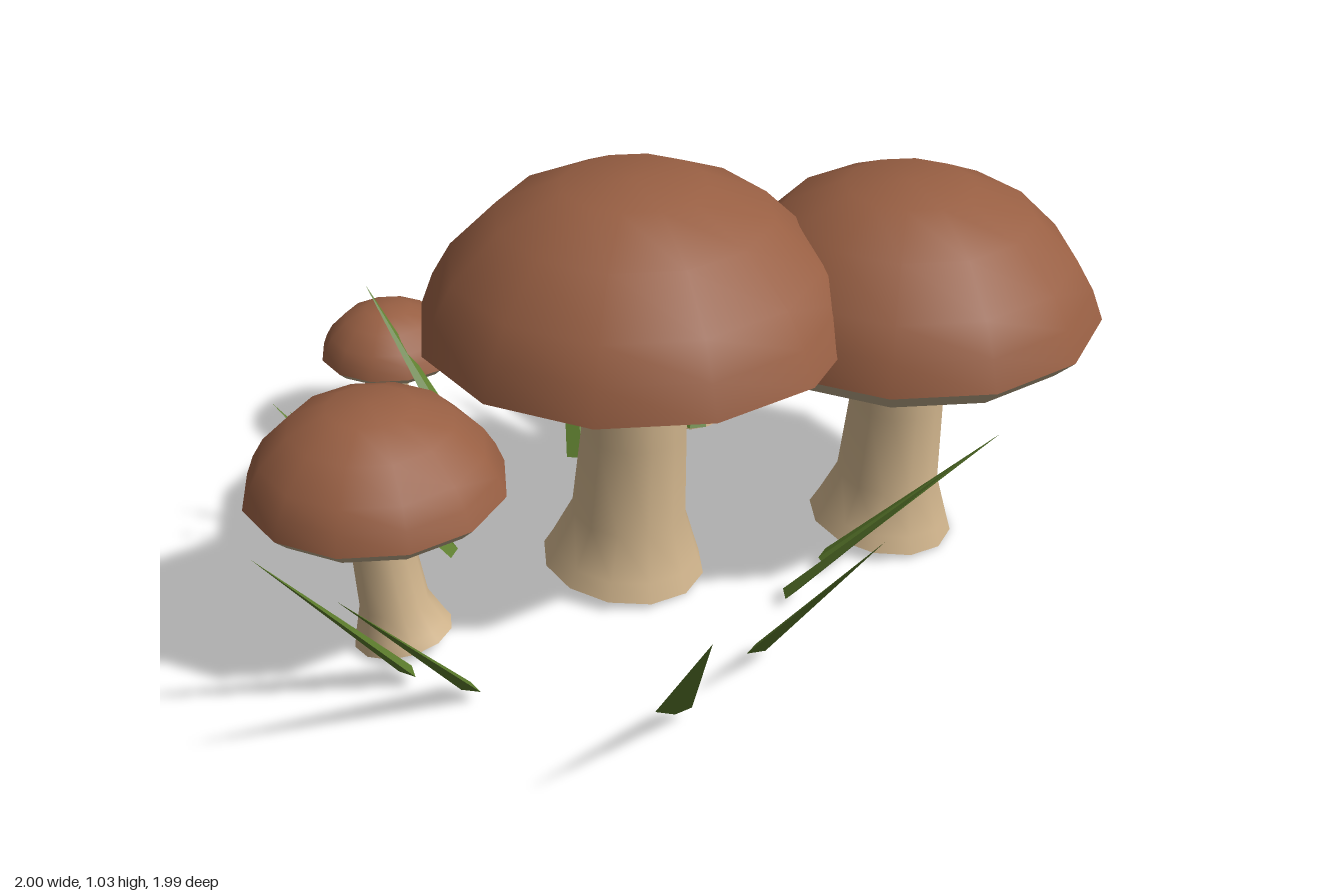
import * as THREE from 'three';
import { mergeVertices } from 'three/addons/utils/BufferGeometryUtils.js';

const mat = (name, color, flatShading = false) => {
  const m = new THREE.MeshStandardMaterial({ color, flatShading, side: THREE.DoubleSide });
  m.name = name;
  return m;
};

const V2 = (a) => a.map(([x, y]) => new THREE.Vector2(x, y));

// Profiles, bottom to top, for a cap of radius 1 and a stem of radius and height 1
const CAP = [[1, 0], [0.94, 0.16], [0.85, 0.315], [0.63, 0.535], [0.33, 0.675], [0, 0.7]];
const STEM = [[1.6, 0], [1.45, 0.07], [1.12, 0.24], [1.02, 0.6], [1, 1]];
const GILLS = [[0.28, -0.105], [0.89, -0.105], [1, 0]];

// cx, cz: cap centre; R: cap radius; rim: rim height; r, top: stem radius and top height;
// lean: sideways shift of the foot; slope: tilt of the foot's cut
const MUSHROOMS = [
  { name: 'largeMushroom', cx: -0.063, cz: 0.048, R: 0.506, rim: 0.68, r: 0.123, top: 0.64, lean: -0.035, slope: -0.125, gills: false },
  { name: 'secondMushroom', cx: 0.535, cz: -0.245, R: 0.465, rim: 0.62, r: 0.111, top: 0.59, lean: -0.03, slope: -0.14, gills: true },
  { name: 'mediumMushroom', cx: -0.588, cz: 0.425, R: 0.3, rim: 0.412, r: 0.072, top: 0.395, lean: 0.04, slope: 0.17, gills: true },
  { name: 'smallMushroom', cx: -0.06, cz: -0.692, R: 0.229, rim: 0.325, r: 0.055, top: 0.31, lean: 0.03, slope: 0.17, gills: true },
  { name: 'tinyMushroom', cx: -0.815, cz: -0.47, R: 0.184, rim: 0.265, r: 0.045, top: 0.255, lean: -0.03, slope: -0.2, gills: true },
];

// Blades: foot x, z, then tip x, y, z
const BLADES = [
  [-0.63, 0.057, -0.955, 0.385, 0.06],
  [-0.52, 0.09, -0.87, 0.44, 0.18],
  [-0.51, -0.21, -0.855, 0.48, -0.415],
  [-0.29, -0.4, -0.39, 0.44, -0.635],
  [-0.22, -0.43, -0.305, 0.43, -0.755],
  [-0.03, -0.6, -0.01, 0.51, -0.995],
  [0.28, 0.37, 0.56, 0.52, 0.635],
  [0.32, 0.13, 0.695, 0.455, 0.185],
  [0.39, -0.02, 0.785, 0.395, -0.06],
  [0.12, 0.63, 0.255, 0.485, 0.995],
  [-0.35, 0.62, -0.505, 0.485, 0.975],
  [-0.5, 0.58, -0.73, 0.475, 0.845],
];

// Turned shape with smooth normals across its seam and pole
function smoothed(geometry) {
  geometry.deleteAttribute('uv');
  geometry.deleteAttribute('normal');
  const g = mergeVertices(geometry);
  g.computeVertexNormals();
  return g;
}

// Flared hollow stem whose foot is shifted and cut at a slant
function stemGeometry({ r, top, lean, slope }) {
  const foot = 1.6 * r * Math.abs(slope);
  const g = new THREE.LatheGeometry(V2(STEM.map(([x, t]) => [x * r, foot + t * (top - foot)])), 12);
  const p = g.attributes.position;
  for (let i = 0; i < p.count; i++) {
    const t = (p.getY(i) - foot) / (top - foot);
    const k = Math.pow(1 - t, 2);
    p.setY(i, p.getY(i) + p.getX(i) * slope * k);
    p.setX(i, p.getX(i) + lean * k);
  }
  return smoothed(g);
}

// Thin blade with a ridge on both faces and a level foot, sheared towards its tip
function bladeGeometry([x, z, tx, ty, tz]) {
  const y0 = 0.03, h = ty - y0;
  const g = new THREE.ConeGeometry(1, h, 4, 1, true);
  g.scale(0.041, 1, 0.017);
  g.translate(0, h / 2, 0);
  g.rotateY(Math.atan2(tx - x, tz - z));
  const p = g.attributes.position;
  for (let i = 0; i < p.count; i++) {
    const t = p.getY(i) / h;
    p.setXYZ(i, p.getX(i) + x + (tx - x) * t, p.getY(i) + y0, p.getZ(i) + z + (tz - z) * t);
  }
  g.computeVertexNormals();
  return g;
}

export function createModel() {
  const model = new THREE.Group();
  model.name = 'mushroomCluster';
  const capMat = mat('capBrown', 0x985f43);
  const stemMat = mat('stemTan', 0xd0b48c);
  const gillMat = mat('gillBeige', 0xbcaa8a, true);
  const grassMat = mat('grassGreen', 0x5c7c2c, true);

  const add = (parent, name, geometry, material) => {
    const m = new THREE.Mesh(geometry, material);
    m.name = name;
    parent.add(m);
    return m;
  };

  for (const s of MUSHROOMS) {
    const group = new THREE.Group();
    group.name = s.name;
    group.position.set(s.cx, 0, s.cz);
    model.add(group);
    const turned = (pts) => new THREE.LatheGeometry(V2(pts.map(([x, y]) => [x * s.R, y * s.R])), 12);
    add(group, 'stem', stemGeometry(s), stemMat);
    add(group, 'cap', smoothed(turned(CAP)), capMat).position.y = s.rim;
    // Underside ring with a bevelled edge, open around the stem
    if (s.gills) add(group, 'gills', turned(GILLS), gillMat).position.y = s.rim;
  }

  const grass = new THREE.Group();
  grass.name = 'grass';
  model.add(grass);
  for (const b of BLADES) add(grass, 'grassBlade', bladeGeometry(b), grassMat);

  return model;
}
